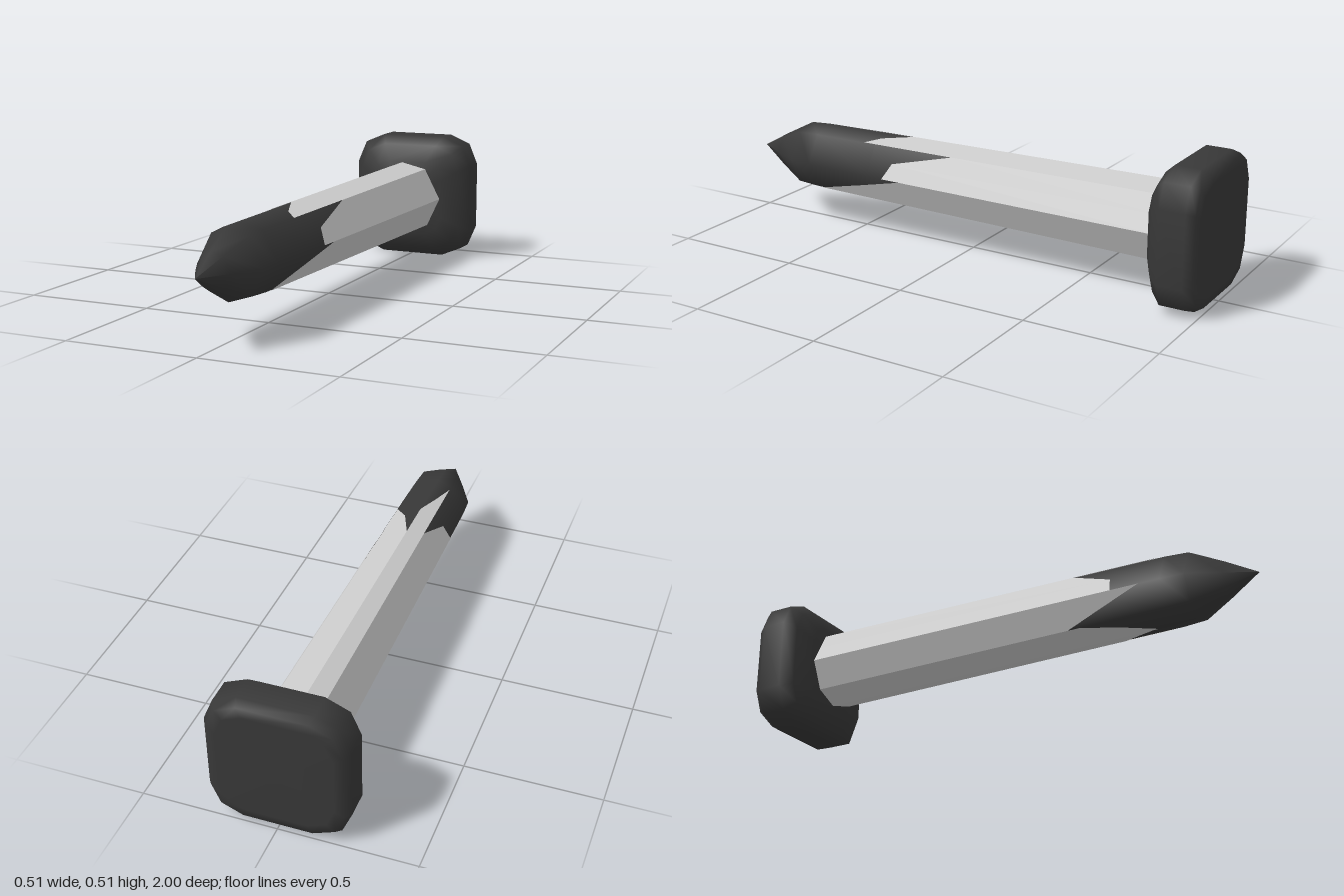
import * as THREE from 'three';

const CY = 0.257;
const SIDES = [0, 56, 98, 124, 182, 228, 266, 310].map(THREE.MathUtils.degToRad);
const shaftRadius = z => 0.134 + 0.011 * (0.65 - z);

// Skin rings of equal length, ordered from back to front
function loft(rings) {
  const n = rings[0].length, index = [];
  for (let i = 0; i < rings.length - 1; i++) {
    for (let j = 0; j < n; j++) {
      const a = i * n + j, b = i * n + (j + 1) % n;
      index.push(a, b, b + n, a, b + n, a + n);
    }
  }
  const geo = new THREE.BufferGeometry();
  geo.setAttribute('position', new THREE.Float32BufferAttribute(rings.flat(2), 3));
  geo.setIndex(index);
  geo.computeVertexNormals();
  return geo;
}

const ring = (r, z) => SIDES.map(a => [r * Math.cos(a), CY + r * Math.sin(a), z]);

// Square outline with two-step rounded corners
function squareRing(s, z) {
  const corner = [[0.256, 0.135], [0.22, 0.22], [0.135, 0.256]];
  const pts = [];
  for (let q = 0; q < 4; q++) {
    const c = Math.round(Math.cos(q * Math.PI / 2)), d = Math.round(Math.sin(q * Math.PI / 2));
    for (const [x, y] of corner) pts.push([s * (x * c - y * d), CY + s * (x * d + y * c), z]);
  }
  return pts;
}

// Eight flat panels with a ragged front edge
function shaftGeometry() {
  const edges = [
    [0.33, 0.30, 0.05], [0.45, 0.40, 0.28], [0.45, 0.55, 0.66], [0.32, 0.48, 0.49],
    [0.60, 0.45, 0.30], [0.35, 0.50, 0.62], [0.60, 0.52, 0.45], [0.65, 0.45, 0.25]];
  const pos = [];
  edges.forEach((edge, i) => {
    const a = SIDES[i], b = SIDES[(i + 1) % 8];
    const at = (t, z) => {
      const r = shaftRadius(z);
      return [r * THREE.MathUtils.lerp(Math.cos(a), Math.cos(b), t),
        CY + r * THREE.MathUtils.lerp(Math.sin(a), Math.sin(b), t), z];
    };
    for (let k = 0; k < 2; k++) {
      const t0 = k / 2, t1 = t0 + 0.5;
      const p = at(t0, -0.83), q = at(t1, -0.83), r = at(t1, edge[k + 1]), s = at(t0, edge[k]);
      pos.push(...p, ...q, ...r, ...p, ...r, ...s);
    }
  });
  const geo = new THREE.BufferGeometry();
  geo.setAttribute('position', new THREE.Float32BufferAttribute(pos, 3));
  geo.computeVertexNormals();
  return geo;
}

export function createModel() {
  const group = new THREE.Group();
  const dark = new THREE.MeshStandardMaterial({ color: 0x383838 });
  const steel = new THREE.MeshStandardMaterial({ color: 0xcccccc, flatShading: true, side: THREE.DoubleSide });
  const add = (name, geo, mat) => {
    const mesh = new THREE.Mesh(geo, mat);
    mesh.name = name;
    group.add(mesh);
  };

  // Rounded square head
  add('head', loft([[0.001, -1], [0.8, -1], [0.93, -0.995], [1, -0.965], [1, -0.87], [0.86, -0.83],
    [0.6, -0.79], [0.001, -0.79]].map(([s, z]) => squareRing(s, z))), dark);

  // Dark core ending in the pointed tip
  const core = [-0.82, 0, 0.4, 0.68].map(z => ring(shaftRadius(z) - 0.002, z));
  add('tip', loft([...core, ring(0.126, 0.77), ring(0.066, 0.885), ring(0.0005, 1)]), dark);

  // Bare metal shaft
  add('shaft', shaftGeometry(), steel);
  return group;
}
